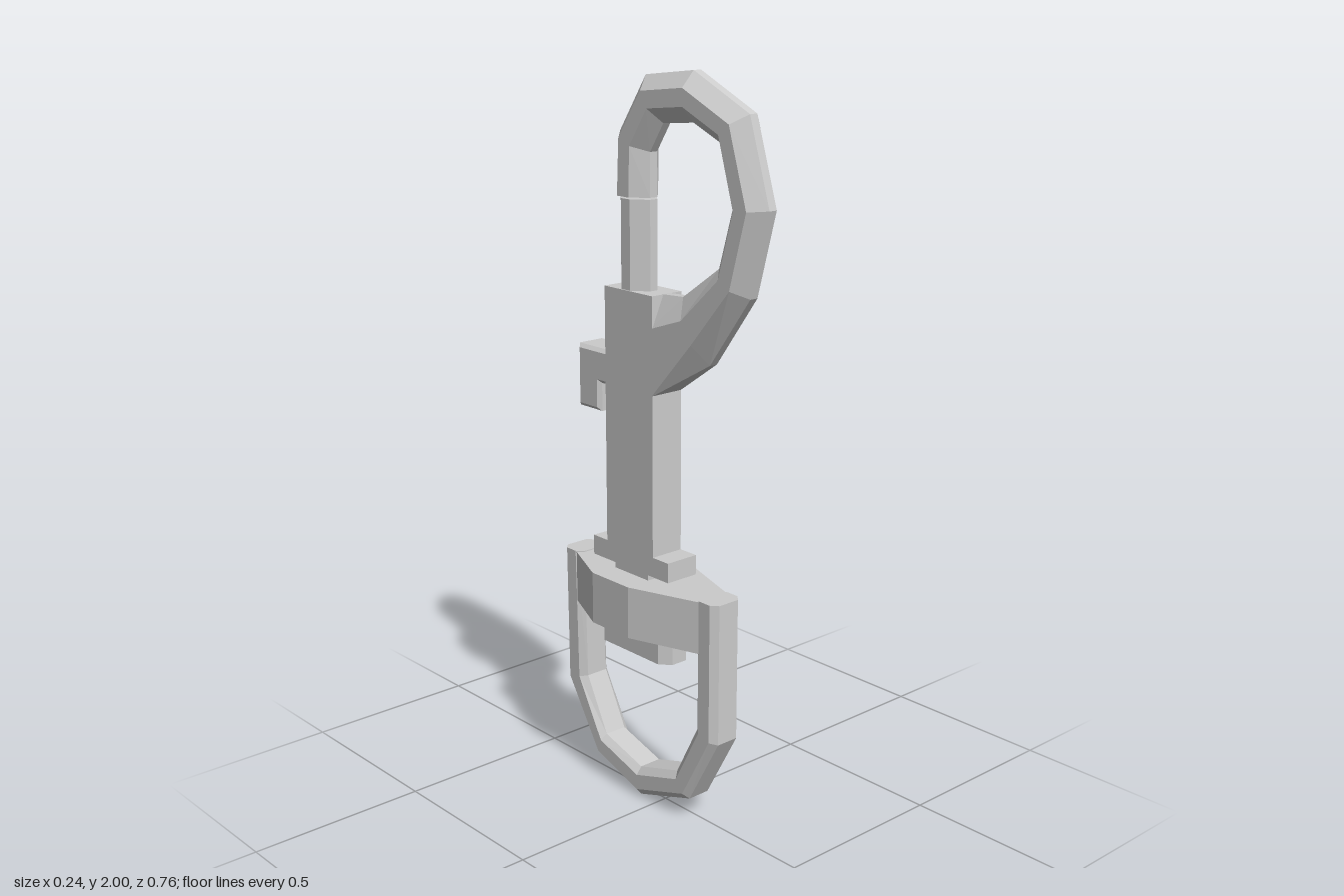
import * as THREE from 'three';

const material = new THREE.MeshStandardMaterial({ color: 0xcccccc, flatShading: true });

function part(name, geometry) {
  const mesh = new THREE.Mesh(geometry, material);
  mesh.name = name;
  return mesh;
}

// Bevelled bar swept in the zy plane; each section is
// [outerZ, outerY, innerZ, innerY, outer flat half width, inner flat half width]
function bevelBar(sections, half, bevel) {
  const rings = sections.map(([oz, oy, iz, iy, wo, wi]) =>
    [[-wo, 0], [wo, 0], [half, bevel], [half, 1 - bevel],
      [wi, 1], [-wi, 1], [-half, 1 - bevel], [-half, bevel]]
      .map(([x, f]) => [x, oy + (iy - oy) * f, oz + (iz - oz) * f]));
  const pos = [];
  const tri = (a, b, c) => pos.push(...a, ...b, ...c);
  for (let s = 0; s < rings.length - 1; s++) {
    const a = rings[s], b = rings[s + 1];
    for (let j = 0; j < 8; j++) {
      const k = (j + 1) % 8;
      tri(a[j], b[k], a[k]);
      tri(a[j], b[j], b[k]);
    }
  }
  const first = rings[0], last = rings[rings.length - 1];
  for (let j = 1; j < 7; j++) {
    tri(first[0], first[j], first[j + 1]);
    tri(last[0], last[j + 1], last[j]);
  }
  const g = new THREE.BufferGeometry();
  g.setAttribute('position', new THREE.Float32BufferAttribute(pos, 3));
  g.computeVertexNormals();
  return g;
}

const outline = pts => new THREE.Shape(pts.map(p => new THREE.Vector2(...p)));

// Outline in (x, z) extruded between two heights
function slab(pts, y0, y1) {
  return new THREE.ExtrudeGeometry(outline(pts), { depth: y1 - y0, bevelEnabled: false })
    .rotateX(Math.PI / 2).translate(0, y1, 0);
}

// Block given by its half width and its y and z ranges
function block(half, y0, y1, z0, z1) {
  return new THREE.BoxGeometry(half * 2, y1 - y0, z1 - z0)
    .translate(0, (y0 + y1) / 2, (z0 + z1) / 2);
}

export function createModel() {
  const group = new THREE.Group();

  // Snap hook, ending in a square-edged web that merges with the body
  const n = 0.012;
  group.add(part('hook', bevelBar([
    [-0.17, 1.675, -0.045, 1.675, n, n],
    [-0.16, 1.835, -0.045, 1.79, n, n],
    [-0.06, 1.98, 0.005, 1.865, n, n],
    [0.115, 2.0, 0.115, 1.875, n, n],
    [0.31, 1.91, 0.21, 1.835, n, n],
    [0.38, 1.69, 0.255, 1.68, n, n],
    [0.32, 1.47, 0.21, 1.53, n, n],
    [0.18, 1.28, 0.08, 1.44, n, n],
    [0.0, 1.17, 0.0, 1.435, 0.05, n],
    [-0.04, 1.17, -0.04, 1.435, 0.05, 0.02],
  ], 0.05, 0.32)));

  // Sliding bolt closing the hook
  group.add(part('bolt', bevelBar([
    [-0.16, 1.40, -0.045, 1.40, n, n],
    [-0.16, 1.67, -0.045, 1.67, n, n],
  ], 0.046, 0.35)));

  // Body and its bottom flange
  group.add(part('body', block(0.05, 0.68, 1.435, -0.183, 0.005)));
  group.add(part('bodyFlange', block(0.05, 0.675, 0.73, -0.24, 0.065)));

  // L-shaped thumb catch on the back
  const catchShape = outline([[-0.17, 1.25], [-0.17, 1.175], [-0.222, 1.175],
    [-0.222, 1.097], [-0.293, 1.097], [-0.293, 1.25]]);
  group.add(part('thumbCatch', new THREE.ExtrudeGeometry(catchShape, {
    depth: 0.076, bevelThickness: 0.01, bevelSize: 0.01, bevelSegments: 1,
  }).rotateY(-Math.PI / 2).translate(0.038, 0, 0)));

  // Swivel stud and the octagonal head that retains it
  group.add(part('swivelStud', block(0.045, 0.48, 0.69, -0.155, -0.02)));
  group.add(part('studHead', slab([[-0.05, -0.2], [-0.025, -0.23], [0.025, -0.23], [0.05, -0.2],
    [0.05, 0.025], [0.025, 0.055], [-0.025, 0.055], [-0.05, 0.025]], 0.43, 0.498)));

  // Swollen collar across the top of the ring
  group.add(part('swivelCollar', slab([[-0.048, -0.32], [0.048, -0.32], [0.118, -0.165],
    [0.118, -0.018], [0.048, 0.19], [-0.048, 0.19], [-0.118, -0.018], [-0.118, -0.165]], 0.512, 0.657)));

  // D-shaped strap ring
  const w = 0.033;
  group.add(part('strapRing', bevelBar([
    [0.245, 0.66, 0.165, 0.66, w, w],
    [0.245, 0.265, 0.165, 0.285, w, w],
    [0.135, 0.065, 0.085, 0.13, w, w],
    [-0.065, 0.0, -0.065, 0.085, w, w],
    [-0.24, 0.06, -0.215, 0.13, w, w],
    [-0.375, 0.265, -0.295, 0.285, w, w],
    [-0.378, 0.66, -0.305, 0.66, w, w],
  ], 0.05, 0.24)));

  return group;
}
